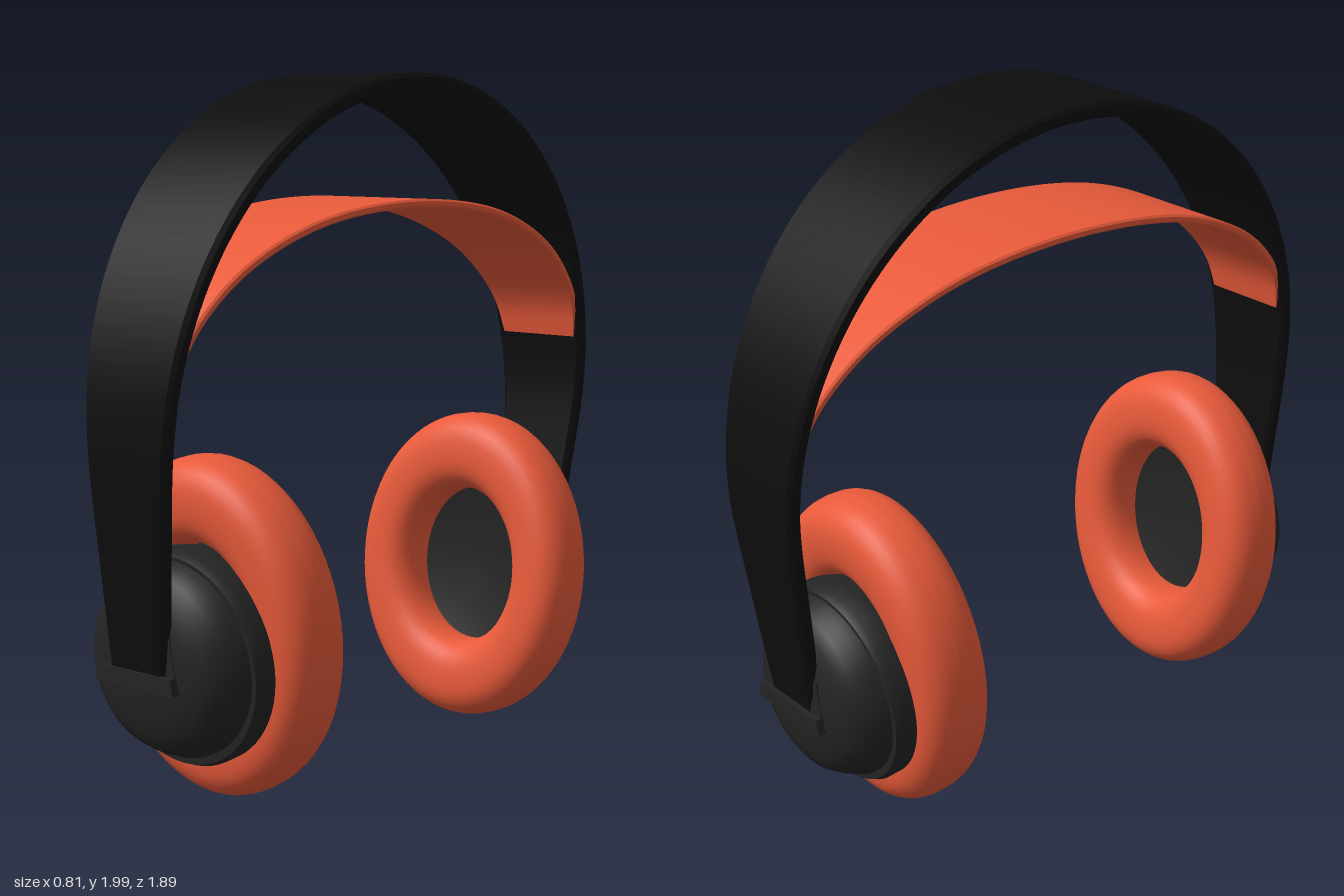
import * as THREE from 'three';
import { toCreasedNormals } from 'three/addons/utils/BufferGeometryUtils.js';

const black = new THREE.MeshStandardMaterial({ color: 0x0d0d0d });
const grey = new THREE.MeshStandardMaterial({ color: 0x242424 });
const orange = new THREE.MeshStandardMaterial({ color: 0xe85a3a });

function addMesh(parent, name, geometry, material) {
  const mesh = new THREE.Mesh(geometry, material);
  mesh.name = name;
  parent.add(mesh);
  return mesh;
}

// Sweeps a chamfered strip along [z, y] points; width(y) gives [centre x, half width]
function strip(points, thickness, width, steps = 96) {
  const curve = new THREE.CatmullRomCurve3(points.map(([z, y]) => new THREE.Vector3(0, y, z)), false, 'centripetal');
  const pos = [], index = [], n = 8;
  for (let i = 0; i <= steps; i++) {
    const p = curve.getPointAt(i / steps);
    const t = curve.getTangentAt(i / steps);
    const out = new THREE.Vector3(1, 0, 0).cross(t);
    const [cx, w] = width(p.y);
    const h = thickness / 2, c = thickness * 0.25;
    const ring = [[w, -h + c], [w, h - c], [w - c, h], [-w + c, h], [-w, h - c], [-w, -h + c], [-w + c, -h], [w - c, -h]];
    for (const [x, d] of ring) pos.push(cx + x, p.y + out.y * d, p.z + out.z * d);
  }
  for (let i = 0; i < steps; i++) {
    for (let j = 0; j < n; j++) {
      const a = i * n + j, b = i * n + (j + 1) % n;
      index.push(a, a + n, b, b, a + n, b + n);
    }
  }
  const last = steps * n;
  for (let j = 1; j < n - 1; j++) index.push(0, j, j + 1, last, last + j + 1, last + j);
  const g = new THREE.BufferGeometry();
  g.setAttribute('position', new THREE.Float32BufferAttribute(pos, 3));
  g.setIndex(index);
  return toCreasedNormals(g, 0.5);
}

// Turns a [radius, depth] profile around the z axis
function turned(profile, crease) {
  const g = new THREE.LatheGeometry(profile.map(([r, d]) => new THREE.Vector2(r, d)), 64);
  g.rotateX(Math.PI / 2);
  return crease ? toCreasedNormals(g, crease) : g;
}

// Tapered block, wider at the bottom, from depth z0 to z1
function taperedBlock(wBottom, wTop, y0, y1, z0, z1) {
  const s = new THREE.Shape();
  s.moveTo(-wBottom, y0);
  s.lineTo(wBottom, y0);
  s.lineTo(wTop, y1);
  s.lineTo(-wTop, y1);
  const g = new THREE.ExtrudeGeometry(s, { depth: z1 - z0, bevelEnabled: false });
  return g.translate(0, 0, z0);
}

// One ear piece, its outside facing +z
function earPiece(name) {
  const ear = new THREE.Group();
  ear.name = name;

  // Tilted pad: oval cushion, recessed cover and the rim behind it
  const pad = new THREE.Group();
  pad.name = 'pad';
  pad.position.set(0.013, 0.505, 0.6);
  pad.rotation.x = 0.087;
  ear.add(pad);

  const profile = [];
  for (let i = 0; i <= 32; i++) {
    const a = (i / 32) * Math.PI * 2;
    const soft = (v) => Math.sign(v) * Math.abs(v) ** 0.8;
    profile.push([0.75 + 0.25 * soft(Math.cos(a)), 0.112 * soft(Math.sin(a))]);
  }
  const cushion = turned(profile);
  cushion.scale(0.392, 0.477, 1);
  addMesh(pad, 'cushion', cushion, orange);

  const cover = turned([[0, 0.05], [0.3, 0.045], [0.55, 0.02], [0.7, 0]]);
  cover.scale(0.392, 0.477, 1);
  addMesh(pad, 'speakerCover', cover, grey);

  const rim = addMesh(pad, 'cupRim', turned([[0, 0.05], [0.29, 0.05], [0.3, 0.1], [0.3, 0.155], [0.29, 0.175], [0, 0.18]], 0.6), grey);
  rim.position.y = -0.05;

  // Domed outer shell
  const shell = addMesh(ear, 'cupShell', turned([[0, 0.7], [0.275, 0.72], [0.278, 0.765], [0.26, 0.81], [0.235, 0.85],
    [0.2, 0.874], [0.15, 0.889], [0.08, 0.9], [0, 0.902]], 0.7), grey);
  shell.position.set(0.013, 0.452, 0);

  // Socket and ledge that hold the end of the headband
  addMesh(ear, 'bandSocket', taperedBlock(0.14, 0.115, 0.4, 0.54, 0.8, 0.897), grey);
  addMesh(ear, 'socketLedge', taperedBlock(0.145, 0.135, 0.392, 0.437, 0.8, 0.916), grey);
  return ear;
}

export function createModel() {
  const model = new THREE.Group();
  model.name = 'headphones';

  // Outer headband: half ellipse with legs running down to both cups
  const arch = [[0.888, 0.44], [0.906, 0.7]];
  for (let i = 0; i <= 16; i++) {
    const a = (i / 16) * Math.PI;
    arch.push([0.922 * Math.cos(a), 1.04 + 0.937 * Math.sin(a)]);
  }
  arch.push([-0.888, 0.72], [-0.848, 0.42]);
  addMesh(model, 'headband', strip(arch, 0.046, (y) => {
    const k = (y - 0.44) / 1.54;
    return [0.003 + 0.012 * k, 0.1 + 0.123 * k];
  }, 128), black);

  // Inner suspension strap
  const half = [[0.897, 1.19], [0.872, 1.28], [0.81, 1.373], [0.67, 1.488], [0.4, 1.595]];
  const sling = [...half, [0, 1.637], ...half.map(([z, y]) => [-z, y]).reverse()];
  addMesh(model, 'innerStrap', strip(sling, 0.024, (y) => {
    const k = (y - 1.19) / 0.45;
    return [0.01, 0.14 + 0.07 * k];
  }), orange);

  // Ear pieces face each other along z
  model.add(earPiece('frontEarPiece'));
  const back = earPiece('backEarPiece');
  back.rotation.y = Math.PI;
  back.position.set(0, -0.022, 0.031);
  model.add(back);

  return model;
}
